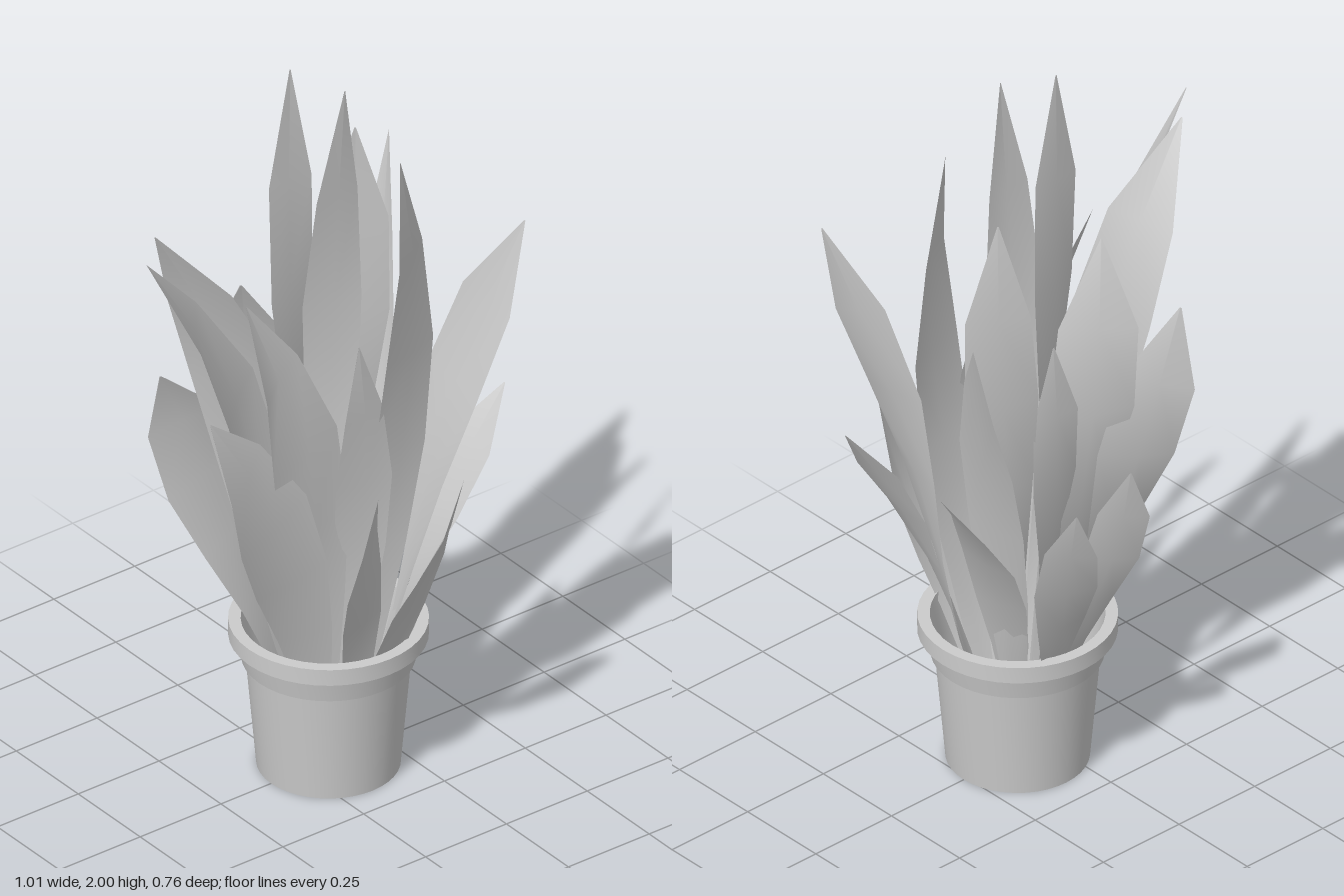
import * as THREE from 'three';
import { toCreasedNormals } from 'three/addons/utils/BufferGeometryUtils.js';

const material = new THREE.MeshStandardMaterial({ color: 0xcccccc, side: THREE.DoubleSide });
const POT_X = 0.083;

// Blade width along its length, from root to tip, as a fraction of the widest half width
const WIDTHS = [0.08, 0.32, 0.55, 0.82, 1, 0.82, 0.02];
// Degrees a blade twists between its root and its tip
const TWIST = 90;

// A low-poly blade rising from inside the pot through mid (its widest point) to tip.
// It is `half` wide to each side; `turn` (degrees) is the way its width runs near the top.
function leafGeometry(mid, tip, half, turn, twist) {
  const towardAxis = (y, fx, fz) => new THREE.Vector3(POT_X + (mid.x - POT_X) * fx, y, mid.z * fz);
  const spine = new THREE.CatmullRomCurve3(
    [towardAxis(0.1, 0.2, 0.3), towardAxis(0.42, 0.45, 0.65), mid, tip], false, 'centripetal');

  const positions = [];
  const index = [];
  WIDTHS.forEach((w, row) => {
    const t = row / (WIDTHS.length - 1);
    const p = spine.getPointAt(t);
    const tangent = spine.getTangentAt(t);
    const angle = THREE.MathUtils.degToRad(turn + twist * (t - 0.75));
    const s = new THREE.Vector3(Math.cos(angle), 0, Math.sin(angle))
      .projectOnPlane(tangent).multiplyScalar(half * w);
    // shallow groove, dipping toward the outside of the plant
    const groove = new THREE.Vector3().crossVectors(s, tangent).multiplyScalar(0.1);
    if (groove.x * (p.x - POT_X) + groove.z * p.z < 0) groove.negate();
    for (const corner of [p.clone().sub(s), p.clone().add(groove), p.clone().add(s)]) {
      positions.push(...corner.toArray());
    }
    if (row === 0) return;
    for (let k = 0; k < 2; k++) {
      const a = (row - 1) * 3 + k, b = row * 3 + k;
      index.push(a, a + 1, b + 1, a, b + 1, b);
    }
  });
  const geometry = new THREE.BufferGeometry();
  geometry.setAttribute('position', new THREE.Float32BufferAttribute(positions, 3));
  geometry.setIndex(index);
  geometry.computeVertexNormals();
  return geometry;
}

function createPot() {
  // Hollow pot, open underneath, with a stepped collar and rim
  const profile = [
    [0.178, 0], [0.204, 0.3], [0.215, 0.305], [0.228, 0.37], [0.247, 0.37],
    [0.247, 0.415], [0.216, 0.415], [0.2, 0.3], [0.176, 0],
  ].map(([r, y]) => new THREE.Vector2(r, y));
  const pot = new THREE.Mesh(toCreasedNormals(new THREE.LatheGeometry(profile, 40), 0.5), material);
  pot.name = 'pot';
  pot.position.x = POT_X;
  return pot;
}

export function createModel() {
  const model = new THREE.Group();
  model.name = 'pottedPlant';
  model.add(createPot());

  const foliage = new THREE.Group();
  foliage.name = 'foliage';
  model.add(foliage);

  const addLeaf = (name, mid, tip, half, turn, twist) => {
    const leaf = new THREE.Mesh(
      leafGeometry(new THREE.Vector3(...mid), new THREE.Vector3(...tip), half, turn, twist), material);
    leaf.name = name;
    foliage.add(leaf);
  };
  // A front leaf and its rear twin, whose tip is moved slightly by dx and dy
  const addPair = (name, [mx, my, mz], [tx, ty, tz], half, turn, dx, dy) => {
    addLeaf(name + 'Front', [mx, my, mz], [tx, ty, tz], half, turn, -TWIST);
    addLeaf(name + 'Back', [mx + dx * 0.6, my, -mz], [tx + dx, ty + dy, -tz], half, -turn, TWIST);
  };

  // Upright leaves in the middle
  addLeaf('centreLeafBack', [0, 1.4, -0.04], [0.01, 2, -0.06], 0.078, -5, TWIST);
  addLeaf('centreLeafFront', [0.08, 1.4, 0.02], [0.095, 1.96, 0.05], 0.08, 5, -TWIST);
  addPair('tallLeaf', [0.235, 1.33, 0.14], [0.205, 1.75, 0.13], 0.1, -25, 0.06, -0.05);

  // Long leaves arching to the right side
  addLeaf('archedLeafFront', [-0.24, 1.22, 0.055], [-0.51, 1.68, 0.04], 0.11, -40, -TWIST);
  addLeaf('archedLeafBack', [-0.18, 1.25, -0.06], [-0.415, 1.68, -0.05], 0.11, 40, TWIST);
  addPair('leaningLeaf', [-0.1, 1.1, 0.12], [-0.21, 1.45, 0.05], 0.125, -20, 0.06, -0.01);
  addPair('sideLeaf', [-0.23, 0.92, 0.16], [-0.39, 1.22, 0.14], 0.13, -15, 0.06, -0.02);

  // Leaves fanning out to the left side
  addPair('outwardLeaf', [0.33, 1.1, 0.18], [0.46, 1.57, 0.3], 0.1, 80, 0.04, -0.05);
  addPair('lowOutwardLeaf', [0.34, 0.8, 0.16], [0.49, 1.03, 0.18], 0.085, 88, 0.01, -0.01);

  // Short leaves around the rim
  addPair('innerLeaf', [0.08, 0.97, 0.15], [0.07, 1.27, 0.14], 0.08, 0, 0.02, 0);
  addPair('lowLeaf', [-0.015, 0.74, 0.28], [-0.02, 0.96, 0.335], 0.08, -30, 0.03, 0);
  addPair('lowCornerLeaf', [0.185, 0.72, 0.31], [0.21, 0.95, 0.38], 0.08, -35, 0.02, 0);
  return model;
}
